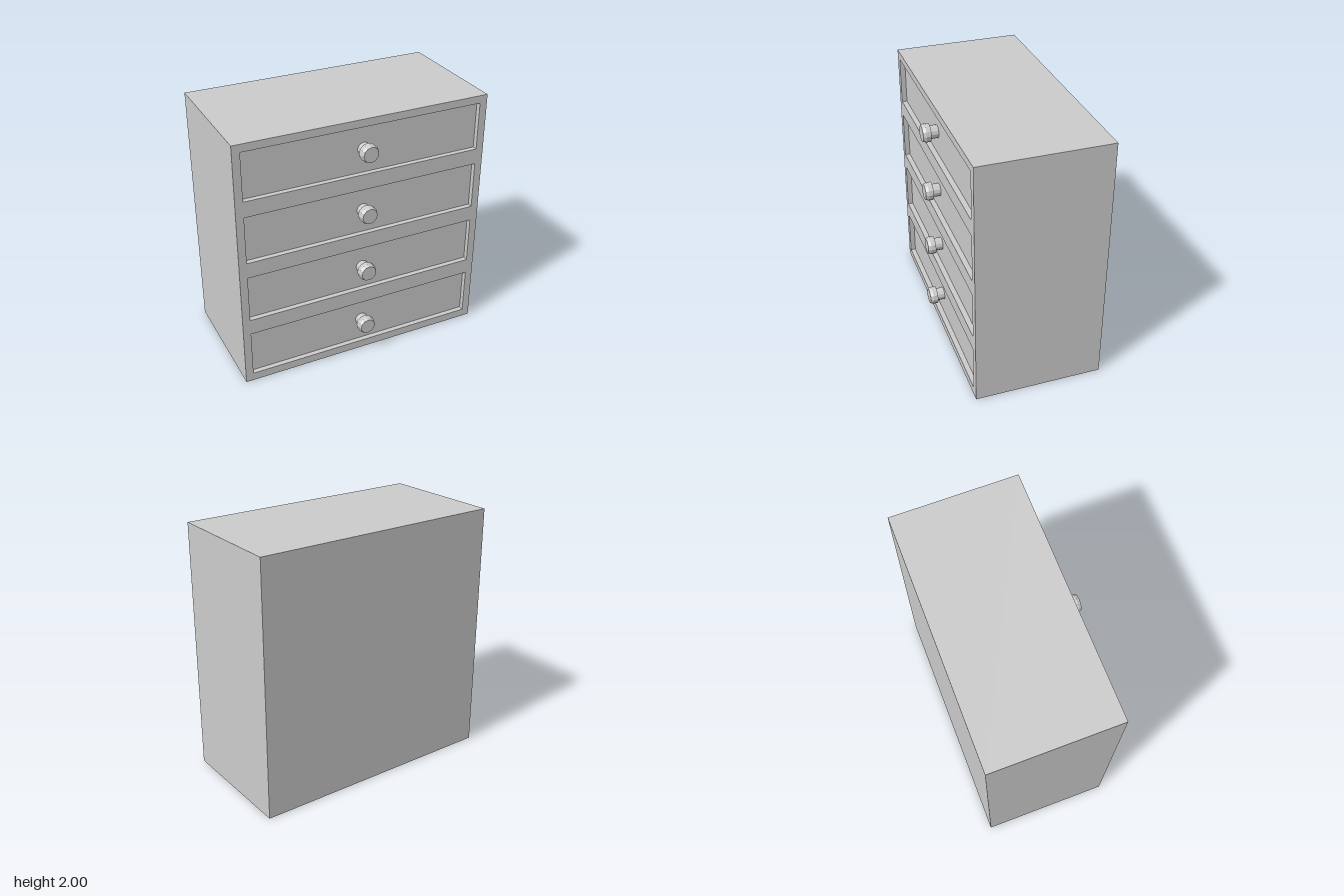
import * as THREE from 'three';

const BACK = -0.54, FRONT = 0.46, RECESS = 0.04;
const DRAWER_W = 1.88, DRAWER_H = 0.375;
const drawerCentres = [0.2525, 0.7525, 1.2525, 1.7525];

function rectangle(target, x0, y0, x1, y1) {
  target.moveTo(x0, y0);
  target.lineTo(x1, y0);
  target.lineTo(x1, y1);
  target.lineTo(x0, y1);
  target.closePath();
  return target;
}

export function createModel() {
  const group = new THREE.Group();
  group.name = 'chestOfDrawers';
  const material = new THREE.MeshStandardMaterial({ color: 0xcccccc, flatShading: true });

  const add = (name, geometry, x, y, z) => {
    const mesh = new THREE.Mesh(geometry, material);
    mesh.name = name;
    mesh.position.set(x, y, z);
    group.add(mesh);
    return mesh;
  };

  // Cabinet: a full-depth shell with one opening per drawer
  const outline = rectangle(new THREE.Shape(), -1, 0, 1, 2);
  for (const y of drawerCentres) {
    outline.holes.push(rectangle(new THREE.Path(),
      -DRAWER_W / 2, y - DRAWER_H / 2, DRAWER_W / 2, y + DRAWER_H / 2));
  }
  const cabinet = new THREE.ExtrudeGeometry(outline, { depth: FRONT - BACK, bevelEnabled: false });
  add('cabinet', cabinet, 0, 0, BACK);

  // Drawers fill the openings, set back from the front and flush at the back
  const drawerDepth = FRONT - RECESS - BACK;
  const drawer = new THREE.BoxGeometry(DRAWER_W, DRAWER_H, drawerDepth);

  // Knob: short stem, wide head, bevelled front
  const profile = [[0.05, 0], [0.05, 0.06], [0.07, 0.06], [0.07, 0.097], [0.06, 0.12], [0, 0.12]]
    .map(([r, h]) => new THREE.Vector2(r, h));
  const knob = new THREE.LatheGeometry(profile, 12).rotateX(Math.PI / 2);

  drawerCentres.forEach((y, i) => {
    add(`drawer${i + 1}`, drawer, 0, y, BACK + drawerDepth / 2);
    add(`knob${i + 1}`, knob, 0, y, FRONT - RECESS);
  });

  return group;
}
